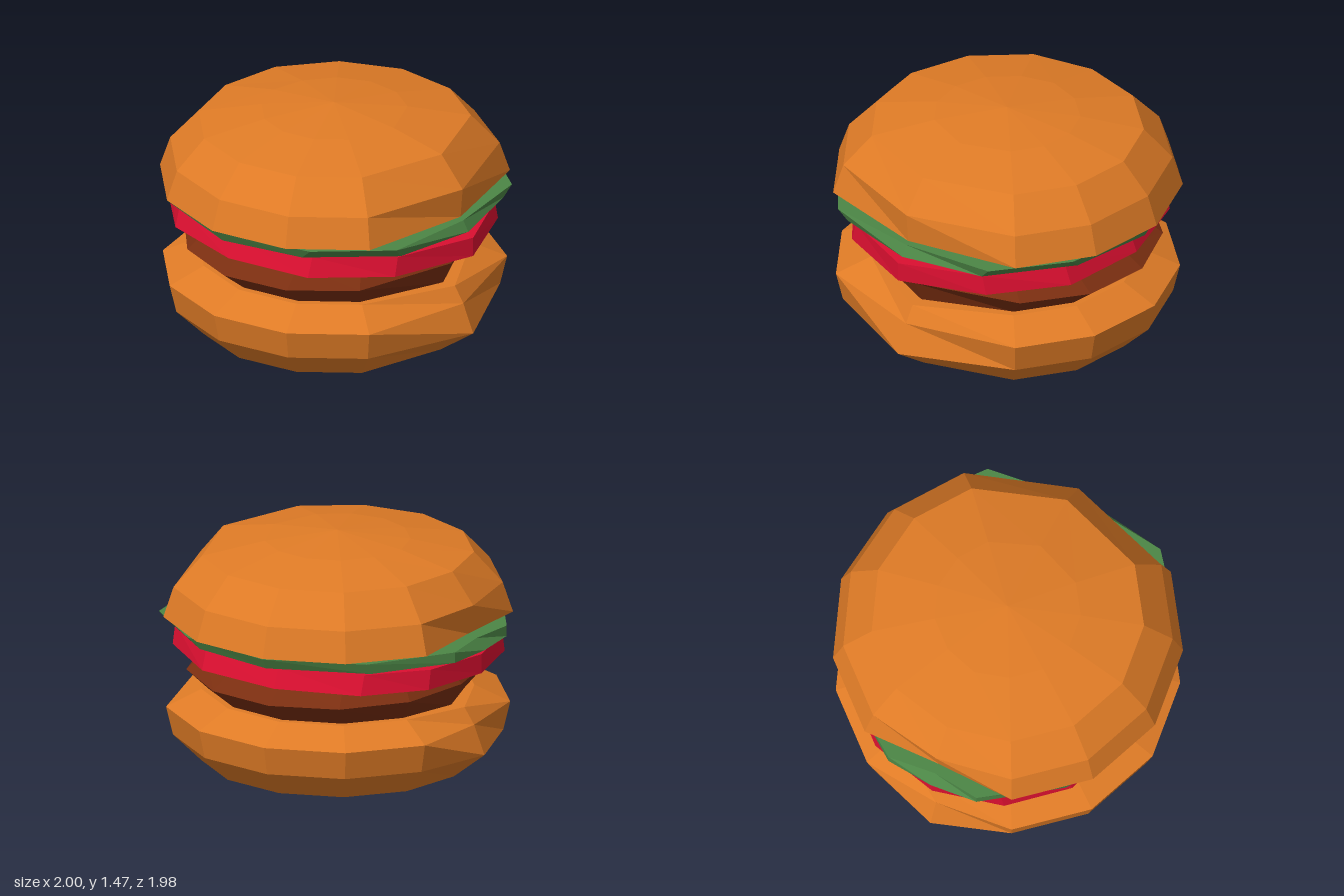
import * as THREE from 'three';

const paint = (name, color) => Object.assign(new THREE.MeshStandardMaterial({ color, flatShading: true }), { name });

// Half outline of a layer, back to front on the +x side; back and front tips set separately
function outline(rx, back, front, rz = rx) {
  const half = [[0, -back]];
  for (let i = 1; i <= 5; i++) {
    const a = (i * Math.PI * 2) / 13;
    half.push([rx * Math.sin(a), -rz * Math.cos(a)]);
  }
  half.push([0, front]);
  return half;
}

const scaled = (half, s) => half.map(([x, z]) => [x * s, z * s]);

// Mirrors the half outline to a full 12-sided ring at height y
function ring(y, half) {
  const other = half.slice(1, -1).reverse().map(([x, z]) => [-x, z]);
  return [...half, ...other].map(([x, z]) => new THREE.Vector3(x, y, z));
}

// Closed solid through a stack of rings (bottom to top) with centre points at both ends
function loft(name, material, rings, bottomY, topY) {
  const pos = [];
  const tri = (...pts) => pts.forEach((p) => pos.push(p.x, p.y, p.z));
  const n = rings[0].length;
  const low = new THREE.Vector3(0, bottomY, 0);
  const high = new THREE.Vector3(0, topY, 0);
  const last = rings[rings.length - 1];
  for (let j = 0; j < n; j++) {
    const k = (j + 1) % n;
    tri(low, rings[0][j], rings[0][k]);
    for (let i = 0; i < rings.length - 1; i++) {
      const a = rings[i], b = rings[i + 1];
      tri(a[j], b[j], b[k]);
      tri(a[j], b[k], a[k]);
    }
    tri(high, last[k], last[j]);
  }
  const geometry = new THREE.BufferGeometry();
  geometry.setAttribute('position', new THREE.Float32BufferAttribute(pos, 3));
  geometry.computeVertexNormals();
  const mesh = new THREE.Mesh(geometry, material);
  mesh.name = name;
  return mesh;
}

export function createModel() {
  const bread = paint('bread', 0xdf7b26);
  const meat = paint('meat', 0x7a2e10);
  const red = paint('tomatoRed', 0xda0f30);
  const green = paint('lettuceGreen', 0x4c8646);

  const group = new THREE.Group();
  group.name = 'burger';

  // Rounded bottom bun
  group.add(loft('bottomBun', bread, [
    ring(0.012, outline(0.425, 0.43, 0.42)),
    ring(0.125, outline(0.785, 0.785, 0.76)),
    ring(0.29, outline(0.95, 0.99, 0.99)),
    ring(0.46, outline(0.99, 0.92, 0.92)),
    ring(0.555, outline(0.785, 0.855, 0.86)),
  ], 0, 0.555));

  // Patty with a pointed rim
  group.add(loft('patty', meat, [
    ring(0.55, outline(0.74, 0.765, 0.775)),
    ring(0.69, outline(0.915, 0.835, 0.835, 0.85)),
    ring(0.78, outline(0.76, 0.75, 0.75)),
  ], 0.55, 0.78));

  // Tomato slice, long from front to back
  const slice = [[0, -0.97], [0.41, -0.87], [0.71, -0.6], [0.86, -0.11], [0.8, 0.41], [0.49, 0.8], [0, 0.99]];
  const sliceTop = slice.map(([x, z]) => [x * 0.945, z]);
  group.add(loft('tomato', red, [ring(0.78, slice), ring(0.895, sliceTop)], 0.78, 0.905));

  // Thin wavy lettuce leaf
  const leafLow = [[0, -0.99], [0.28, -0.965], [0.7, -0.66], [0.93, -0.1], [0.84, 0.4], [0.49, 0.84], [0, 0.955]];
  const leafTop = [[0, -0.935], [0.28, -0.965], [0.73, -0.65], [0.965, -0.1], [0.86, 0.47], [0.55, 0.855], [0, 0.92]];
  group.add(loft('lettuce', green, [ring(0.922, leafLow), ring(0.985, leafTop)], 0.922, 0.99));

  // Domed top bun with a raised core under it
  group.add(loft('topBun', bread, [
    ring(0.9, scaled(outline(1, 1, 0.97), 0.7)),
    ring(1.0, scaled(outline(1, 1, 0.97), 0.77)),
    ring(1.002, outline(1.006, 0.88, 0.9)),
    ring(1.178, outline(0.947, 0.915, 0.915)),
    ring(1.357, outline(0.783, 0.775, 0.765)),
    ring(1.427, outline(0.42, 0.43, 0.425)),
  ], 0.9, 1.47));

  return group;
}
